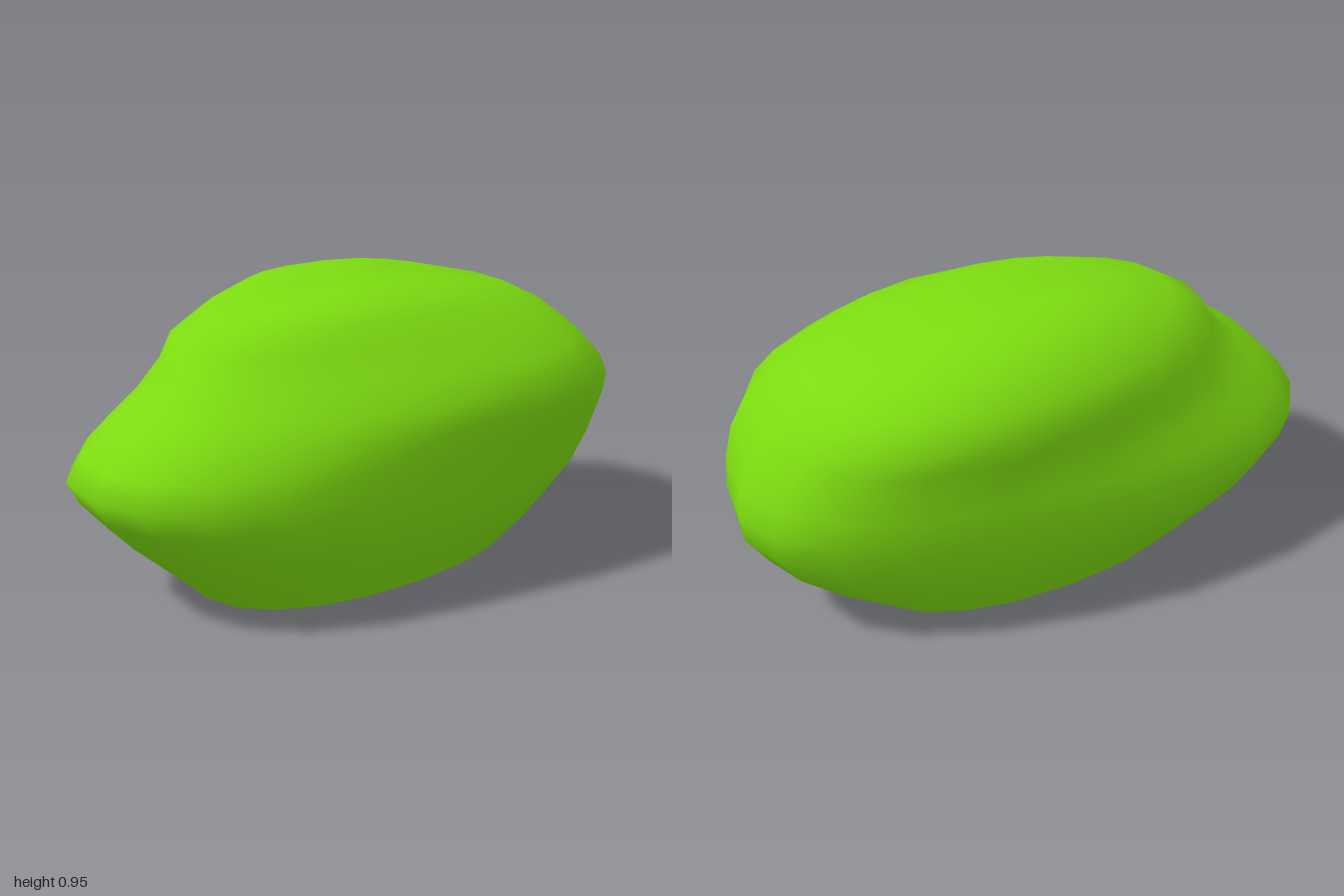
import * as THREE from 'three';

const SIDES = 20;

// Levels from the base up: y, xMin, xMax, zMin, zMax, left taper, right taper.
// A positive taper makes that flank fuller towards the back.
const LEVELS = [
  [0, -0.36, 0.32, -0.61, 0.6, 0, 0],
  [0.1, -0.43, 0.39, -0.76, 0.71, -0.05, 0],
  [0.23, -0.51, 0.46, -0.92, 0.86, -0.12, 0],
  [0.33, -0.545, 0.49, -0.99, 0.95, -0.18, 0],
  [0.41, -0.55, 0.505, -1, 1, -0.16, 0.06],
  [0.49, -0.535, 0.525, -0.98, 0.96, -0.08, 0.16],
  [0.57, -0.515, 0.545, -0.94, 0.88, 0, 0.27],
  [0.64, -0.515, 0.54, -0.89, 0.78, 0.08, 0.34],
  [0.72, -0.52, 0.485, -0.83, 0.67, 0.12, 0.36],
  [0.8, -0.485, 0.395, -0.74, 0.62, 0.12, 0.32],
  [0.87, -0.42, 0.32, -0.6, 0.5, 0.1, 0.26],
  [0.915, -0.33, 0.25, -0.4, 0.33, 0, 0.15],
  [0.945, -0.2, 0.16, -0.22, 0.14, 0, 0],
];

// One ring of points: a slightly squared ellipse, each flank tapered along z
function ring([y, x0, x1, z0, z1, leftTaper, rightTaper]) {
  const mid = (x0 + x1) / 2;
  const half = (x1 - x0) / 2;
  const bulge = (v) => Math.sign(v) * Math.abs(v) ** 0.88;
  return Array.from({ length: SIDES }, (_, i) => {
    const angle = (i / SIDES) * Math.PI * 2;
    const pz = -bulge(Math.cos(angle));
    const px = bulge(Math.sin(angle));
    const taper = px < 0 ? leftTaper : rightTaper;
    const x = mid + (half * px * (1 - taper * pz)) / (1 + (taper * taper) / 2);
    return [x, y, pz < 0 ? -pz * z0 : pz * z1];
  });
}

// Smooth skin through the rings, closed with a centre point
function skin(rings, centre) {
  const last = rings.length - 1;
  const index = [];
  for (let r = 0; r <= last; r++) {
    for (let i = 0; i < SIDES; i++) {
      const a = r * SIDES + i;
      const b = r * SIDES + ((i + 1) % SIDES);
      if (r === last) index.push(a, rings.length * SIDES, b);
      else index.push(a, a + SIDES, b, b, a + SIDES, b + SIDES);
    }
  }
  const geometry = new THREE.BufferGeometry();
  geometry.setAttribute('position', new THREE.Float32BufferAttribute([...rings.flat(2), ...centre], 3));
  geometry.setIndex(index);
  return geometry;
}

export function createModel() {
  const group = new THREE.Group();
  group.name = 'bush';
  const leaf = new THREE.MeshStandardMaterial({ color: 0x7cda10, side: THREE.DoubleSide });

  // Rounded body; a shallow valley parts two humps on top, the one at -x higher
  const body = skin(LEVELS.map(ring), [-0.02, 0.95, -0.05]);
  const p = body.attributes.position;
  for (let i = 0; i < p.count; i++) {
    const x = p.getX(i), y = p.getY(i);
    if (y < 0.9) continue;
    p.setY(i, y - 0.05 * x - 0.022 * Math.exp(-(((x + 0.02) / 0.07) ** 2)));
  }
  body.computeVertexNormals();
  const bodyMesh = new THREE.Mesh(body, leaf);
  bodyMesh.name = 'foliage';
  group.add(bodyMesh);

  // Shallow hollow underneath, its faces turned to look down
  const insets = [[0, 0], [0.025, 0.03], [0.045, 0.07]];
  const hollow = skin(
    insets.map(([y, d]) => ring([y, -0.36 + d, 0.32 - d, -0.61 + d, 0.6 - d, 0, 0])),
    [-0.02, 0.045, 0],
  );
  hollow.index.array.reverse();
  hollow.computeVertexNormals();
  const hollowMesh = new THREE.Mesh(hollow, leaf);
  hollowMesh.name = 'baseHollow';
  group.add(hollowMesh);

  return group;
}
